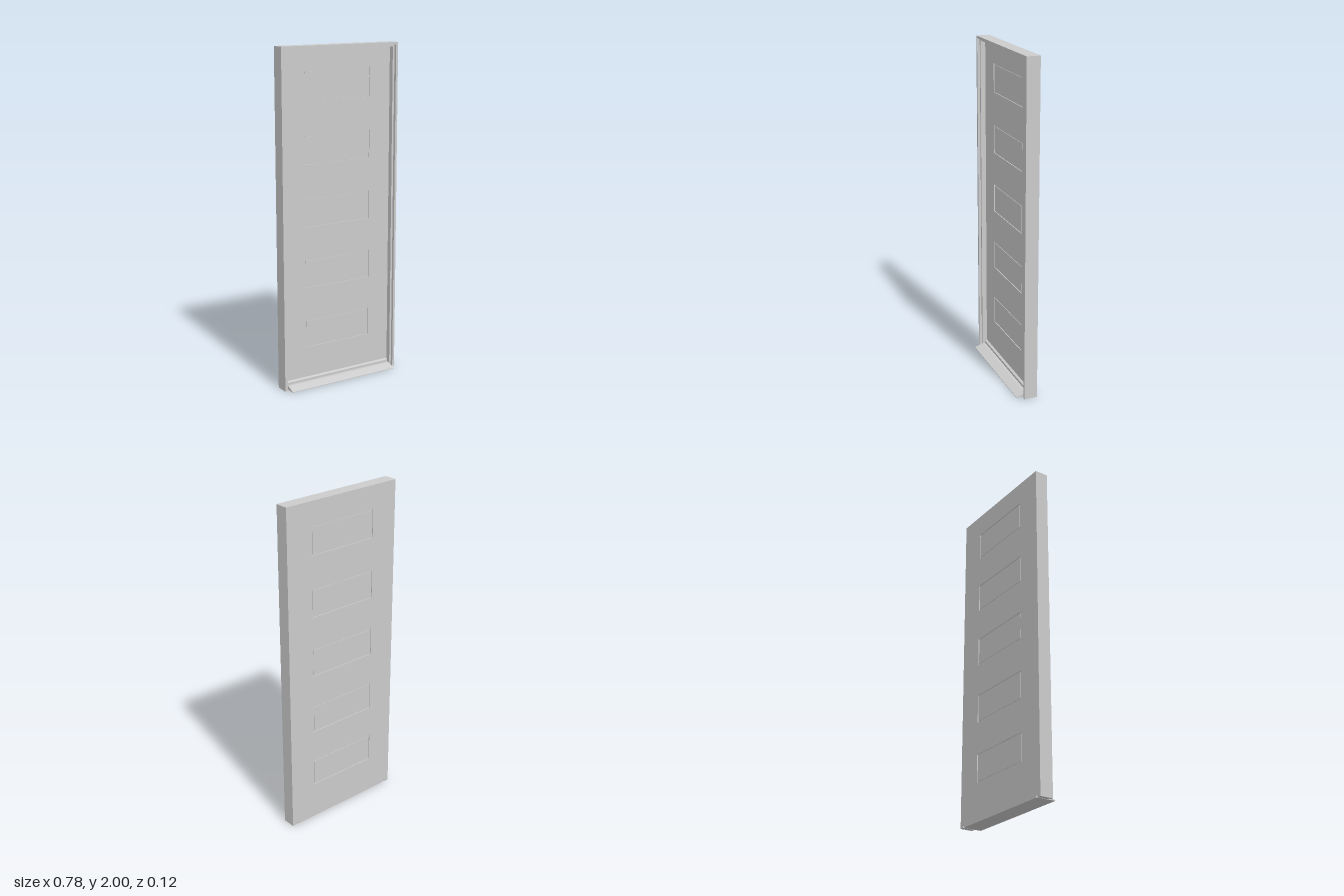
import * as THREE from 'three';

const material = new THREE.MeshStandardMaterial({ color: 0xcccccc, flatShading: true });

function polygon(points) {
  return new THREE.Shape(points.map(([x, y]) => new THREE.Vector2(x, y)));
}

function rectangle(hw, y0, y1) {
  return polygon([[-hw, y0], [hw, y0], [hw, y1], [-hw, y1]]);
}

// Extrudes an x-y outline between two depths
function slab(name, shape, z0, z1) {
  const geometry = new THREE.ExtrudeGeometry(shape, { depth: z1 - z0, bevelEnabled: false });
  geometry.translate(0, 0, z0);
  const mesh = new THREE.Mesh(geometry, material);
  mesh.name = name;
  return mesh;
}

// Two jambs and a head, open at the bottom
function archShape(outer, inner, outerTop, innerTop) {
  return polygon([[-outer, 0], [-inner, 0], [-inner, innerTop], [inner, innerTop],
    [inner, 0], [outer, 0], [outer, outerTop], [-outer, outerTop]]);
}

export function createModel() {
  const group = new THREE.Group();
  group.name = 'panelledDoor';
  const back = -0.06, leafFront = -0.026;

  // Stepped door frame
  group.add(slab('outerFrame', archShape(0.39, 0.376, 2, 1.986), back, 0.02));
  group.add(slab('frameStop', archShape(0.376, 0.364, 1.986, 1.974), back, 0.004));

  // Door leaf with five openings and small notches in the bottom corners
  const hw = 0.364, notch = 0.012;
  const leaf = polygon([[-hw + notch, 0], [hw - notch, 0], [hw - notch, notch], [hw, notch],
    [hw, 1.974], [-hw, 1.974], [-hw, notch], [-hw + notch, notch]]);
  const w = 0.223, h = 0.17, bead = 0.008;
  for (let i = 0; i < 5; i++) {
    const y0 = 0.228 + i * 0.366, y1 = y0 + h;
    leaf.holes.push(rectangle(w, y0, y1));

    // Bead set below the leaf surface, then the panel inside it
    const ring = rectangle(w, y0, y1);
    ring.holes.push(rectangle(w - bead, y0 + bead, y1 - bead));
    group.add(slab('panelBead' + (i + 1), ring, back + 0.005, leafFront - 0.005));
    group.add(slab('panel' + (i + 1), rectangle(w - bead, y0 + bead, y1 - bead),
      back + 0.002, leafFront - 0.002));
  }
  group.add(slab('doorLeaf', leaf, back, leafFront));

  // Sloping sill with a raised threshold, profile in z-y swept along x
  const profile = polygon([[-0.052, 0], [0.057, 0], [0.057, 0.003], [0.004, 0.022],
    [-0.012, 0.022], [-0.012, 0.036], [-0.026, 0.042], [-0.052, 0.042]]);
  const sillGeometry = new THREE.ExtrudeGeometry(profile, { depth: 0.72, bevelEnabled: false });
  sillGeometry.translate(0, 0, -0.36);
  sillGeometry.rotateY(-Math.PI / 2);
  sillGeometry.scale(-1, 1, 1);
  sillGeometry.rotateY(0);
  // Mirroring reversed the profile, so turn it back to face the front
  sillGeometry.scale(-1, 1, 1);
  const sill = new THREE.Mesh(sillGeometry, material);
  sill.name = 'sill';
  group.add(sill);

  return group;
}
